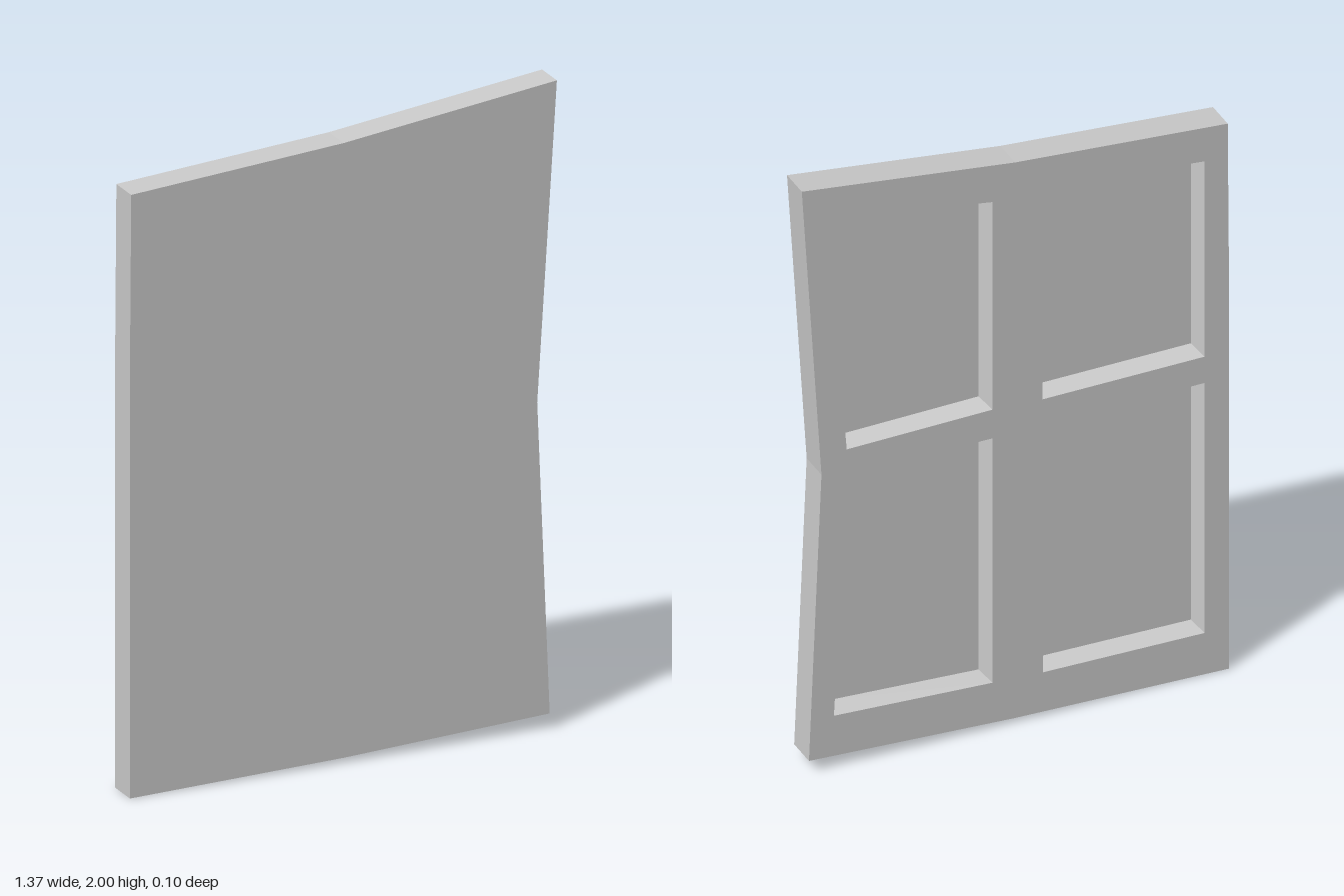
import * as THREE from 'three';

const HALF = 0.05;      // half the total thickness
const RECESS = 0.06;    // depth of the pane pockets, open to the back
const TAPER = 0.016;    // how far the pocket walls lean in towards the floor

// Crooked outline, counter-clockwise from the lower right corner
const OUTLINE = [
  [-0.686, 0], [0, 0.016], [0.66, 0.047], [0.62, 1.015],
  [0.683, 2], [0, 1.916], [-0.682, 1.865], [-0.686, 1.34],
];

// Four skewed pane openings, each from its low-x bottom corner round to low-x top
const PANES = [
  [[0.072, 1.09], [0.539, 1.08], [0.602, 1.883], [0.072, 1.8]],
  [[-0.608, 1.088], [-0.088, 1.082], [-0.085, 1.807], [-0.608, 1.756]],
  [[0.072, 0.156], [0.58, 0.18], [0.539, 0.988], [0.072, 0.992]],
  [[-0.608, 0.143], [-0.09, 0.148], [-0.09, 0.996], [-0.608, 0.998]],
];

const toPoints = (list) => list.map(([x, y]) => new THREE.Vector2(x, y));

function slab(holes, z, depth) {
  const shape = new THREE.Shape(toPoints(OUTLINE));
  shape.holes = holes.map((hole) => new THREE.Path(toPoints(hole)));
  return new THREE.ExtrudeGeometry(shape, { depth, bevelEnabled: false }).translate(0, 0, z);
}

// Lean the pocket walls: move the inner end of each pane corner towards the pane middle
function taperPockets(geometry) {
  const pos = geometry.attributes.position;
  const corners = PANES.flatMap((pane) => pane.map(([x, y], i) => ({
    x, y,
    dx: i === 0 || i === 3 ? TAPER : -TAPER,
    dy: i < 2 ? TAPER : -TAPER,
  })));
  for (let v = 0; v < pos.count; v++) {
    if (pos.getZ(v) < -HALF + RECESS / 2) continue;
    const x = pos.getX(v), y = pos.getY(v);
    const corner = corners.find((c) => Math.hypot(c.x - x, c.y - y) < 1e-4);
    if (corner) pos.setXY(v, x + corner.dx, y + corner.dy);
  }
  geometry.computeVertexNormals();
  return geometry;
}

export function createModel() {
  const group = new THREE.Group();
  group.name = 'crookedWindow';
  const material = new THREE.MeshStandardMaterial({ color: 0xcccccc, flatShading: true });

  function add(name, geometry) {
    const mesh = new THREE.Mesh(geometry, material);
    mesh.name = name;
    group.add(mesh);
  }

  // Frame with crossing bars, then the flat panel closing its front
  add('frame', taperPockets(slab(PANES, -HALF, RECESS)));
  add('frontPanel', slab([], -HALF + RECESS, 2 * HALF - RECESS));

  return group;
}
